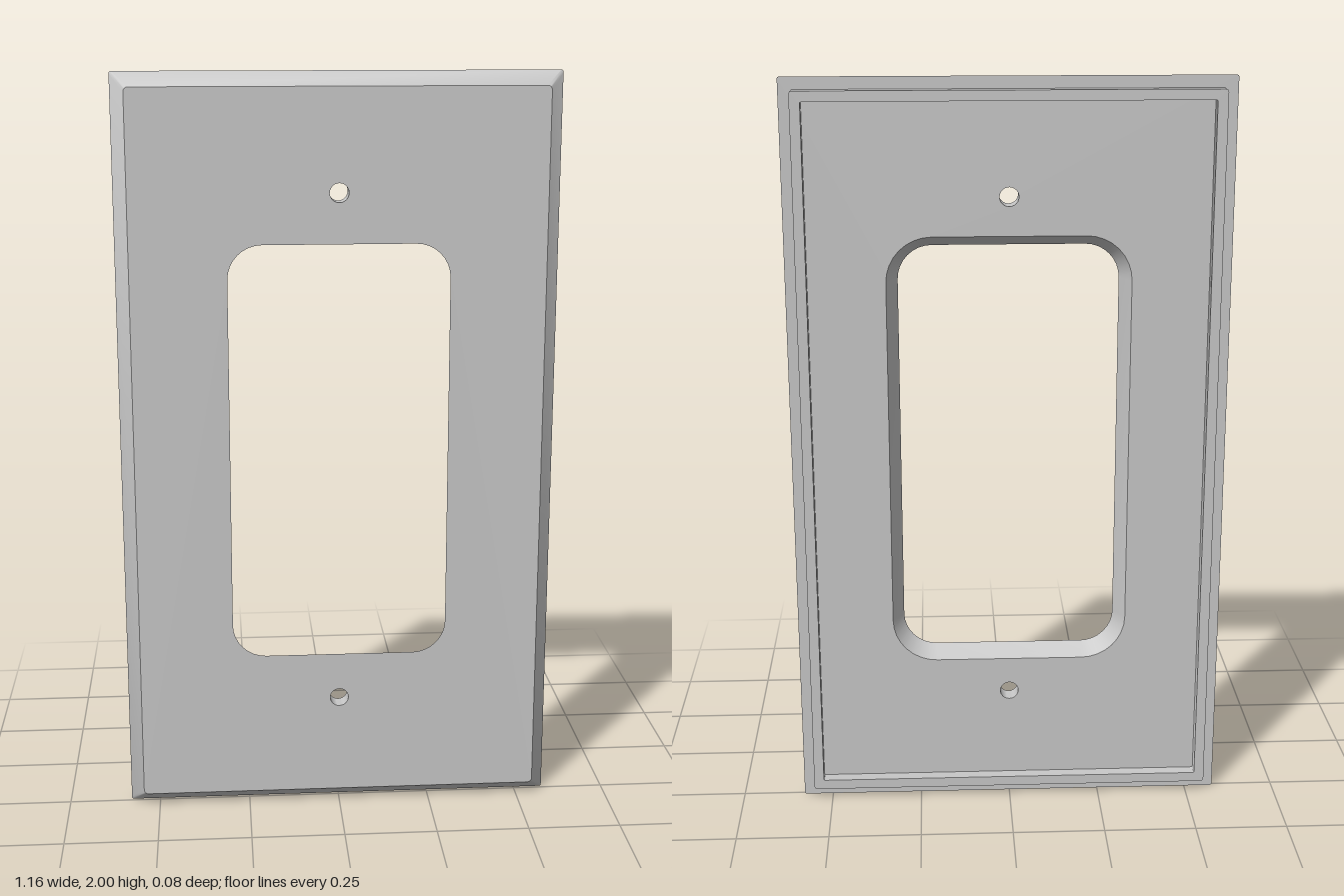
import * as THREE from 'three';
import { toCreasedNormals } from 'three/addons/utils/BufferGeometryUtils.js';

const BACK = -0.008, FRONT = 0.042, RIM_BACK = -0.042;
const SCREW_Y = [0.31, 1.695], SCREW_R = 0.025;

// Counter-clockwise rounded rectangle centred on (0, 1)
function roundRect(hw, hh, r, seg = 8) {
  const pts = [];
  [[1, 1], [-1, 1], [-1, -1], [1, -1]].forEach(([sx, sy], q) => {
    for (let i = 0; i <= seg; i++) {
      const a = (q + i / seg) * Math.PI / 2;
      pts.push(new THREE.Vector2(sx * (hw - r) + r * Math.cos(a), 1 + sy * (hh - r) + r * Math.sin(a)));
    }
  });
  return pts;
}

function circle(y, r, n = 24) {
  return Array.from({ length: n }, (_, i) => {
    const a = i / n * Math.PI * 2;
    return new THREE.Vector2(r * Math.cos(a), y + r * Math.sin(a));
  });
}

// Wall between two matching loops, facing outward or into a hole
function wall(backLoop, frontLoop, inward = false) {
  const n = backLoop.length, pos = [], index = [];
  backLoop.forEach(p => pos.push(p.x, p.y, BACK));
  frontLoop.forEach(p => pos.push(p.x, p.y, FRONT));
  for (let i = 0; i < n; i++) {
    const j = (i + 1) % n;
    if (inward) index.push(i, n + j, j, i, n + i, n + j);
    else index.push(i, j, n + j, i, n + j, n + i);
  }
  const g = new THREE.BufferGeometry();
  g.setAttribute('position', new THREE.Float32BufferAttribute(pos, 3));
  g.setIndex(index);
  return toCreasedNormals(g, 0.6);
}

// Flat face with holes
function face(outline, holes, z, faceBack) {
  const s = new THREE.Shape(outline);
  s.holes = holes.map(h => new THREE.Path(h));
  const g = new THREE.ShapeGeometry(s);
  if (faceBack) g.rotateY(Math.PI); // the outline is symmetric in x
  return g.translate(0, 0, z);
}

export function createModel() {
  const group = new THREE.Group();
  const grey = new THREE.MeshStandardMaterial({ color: 0xc8c8c8 });
  grey.name = 'light grey';
  const add = (name, geometry) => {
    const m = new THREE.Mesh(geometry, grey);
    m.name = name;
    group.add(m);
  };

  // Plate with bevelled edge
  const outerBack = roundRect(0.58, 1, 0.006), outerFront = roundRect(0.543, 0.963, 0.012);
  const openFront = roundRect(0.29, 0.563, 0.09), openBack = roundRect(0.32, 0.593, 0.12);
  const screws = SCREW_Y.map(y => circle(y, SCREW_R));
  add('frontFace', face(outerFront, [openFront, ...screws], FRONT, false));
  add('backFace', face(outerBack, [openBack, ...screws], BACK, true));
  add('bevelledEdge', wall(outerBack, outerFront));

  // Central opening flares towards the back
  add('openingWall', wall(openBack, openFront, true));
  screws.forEach((s, i) => add(i ? 'upperScrewHole' : 'lowerScrewHole', wall(s, s, true)));

  // Raised rim on the back
  const rim = new THREE.Shape(roundRect(0.55, 0.968, 0.008, 4));
  rim.holes.push(new THREE.Path(roundRect(0.523, 0.941, 0.004, 4)));
  const rimGeo = new THREE.ExtrudeGeometry(rim, { depth: BACK - RIM_BACK, bevelEnabled: false });
  add('backRim', toCreasedNormals(rimGeo.translate(0, 0, RIM_BACK), 0.6));

  return group;
}
